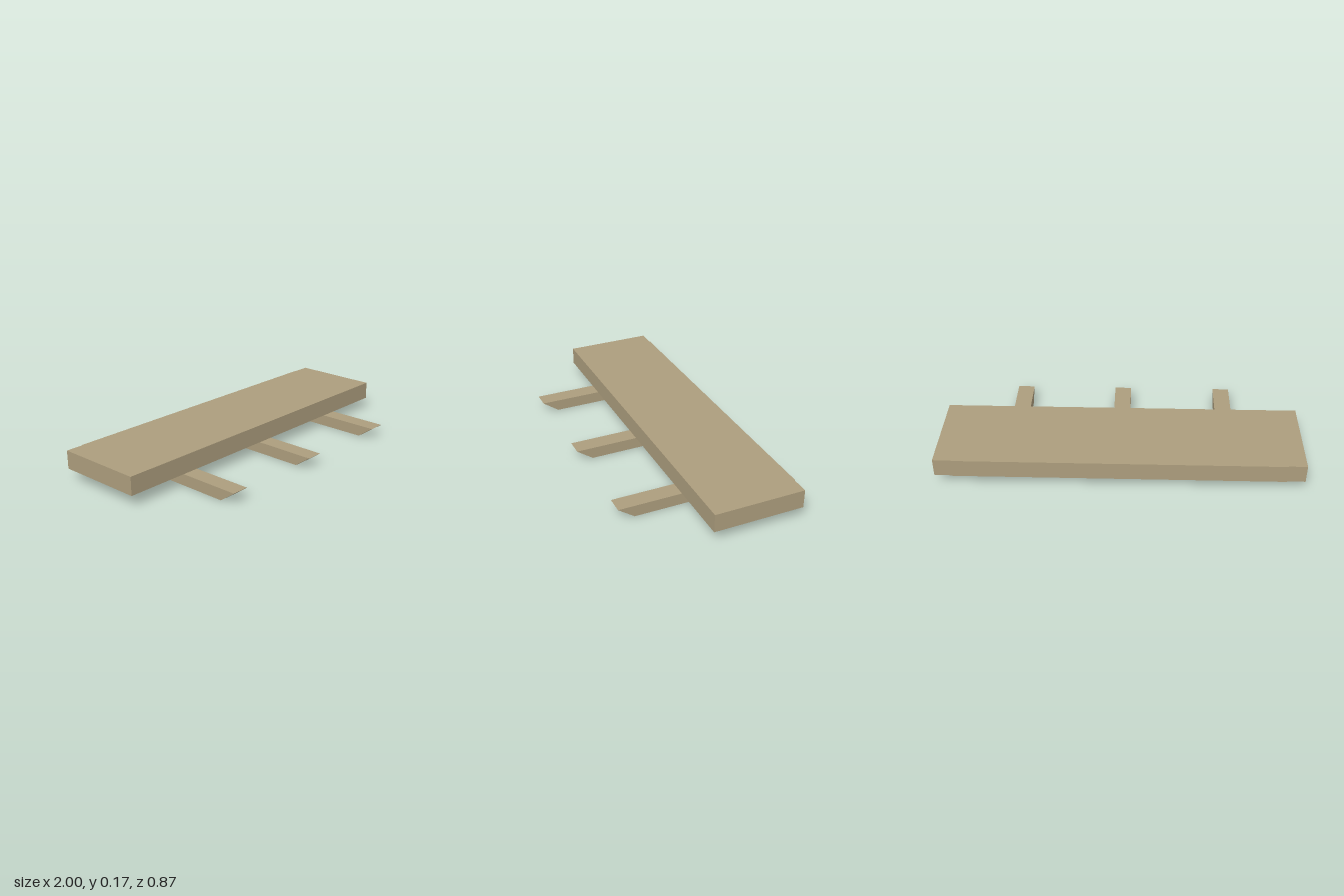
import * as THREE from 'three';

export function createModel() {
  const group = new THREE.Group();
  const sandstone = new THREE.MeshStandardMaterial({ color: 0xac9d7d });

  function addBox(name, width, yMin, yMax, zMin, zMax) {
    const geometry = new THREE.BoxGeometry(width, yMax - yMin, zMax - zMin);
    const mesh = new THREE.Mesh(geometry, sandstone);
    mesh.position.set(0, (yMin + yMax) / 2, (zMin + zMax) / 2);
    mesh.name = name;
    group.add(mesh);
  }

  // Shelf slab and the shallow raised panel along its back
  addBox('slab', 2, 0.065, 0.168, -0.43, 0.077);
  addBox('backPanel', 1.8, 0.065, 0.168, -0.434, -0.43);

  // Support beams with slanted ends; profile drawn as (z, y)
  const beamWidth = 0.096;
  const profile = new THREE.Shape([
    new THREE.Vector2(-0.169, 0),
    new THREE.Vector2(0.343, 0),
    new THREE.Vector2(0.434, 0.065),
    new THREE.Vector2(-0.262, 0.065),
  ]);
  const beamGeometry = new THREE.ExtrudeGeometry(profile, { depth: beamWidth, bevelEnabled: false });
  beamGeometry.translate(0, 0, -beamWidth / 2);
  beamGeometry.rotateY(-Math.PI / 2);

  ['rightBeam', 'middleBeam', 'leftBeam'].forEach((name, i) => {
    const beam = new THREE.Mesh(beamGeometry, sandstone);
    beam.name = name;
    beam.position.x = (i - 1) * 0.598;
    group.add(beam);
  });

  return group;
}
